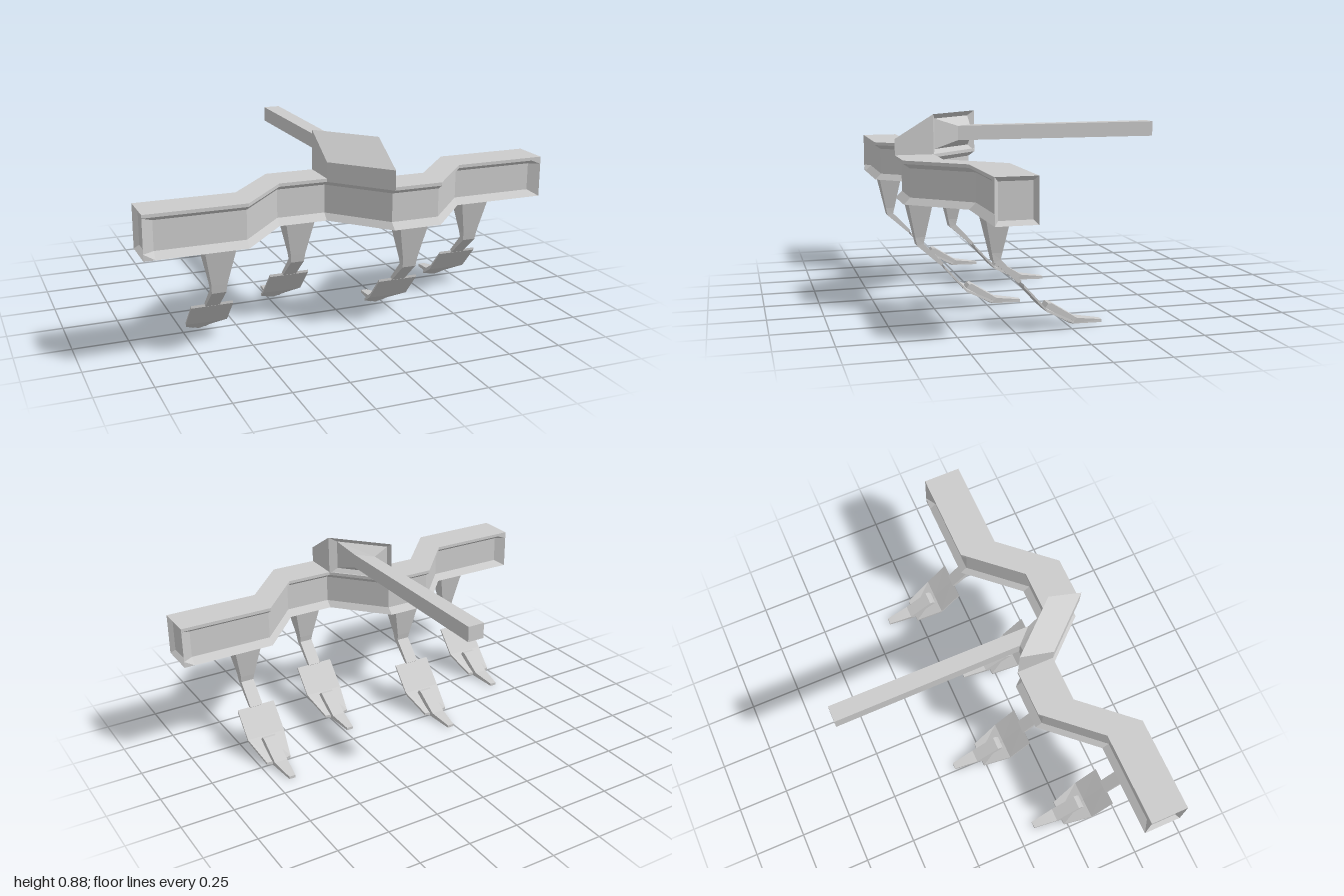
import * as THREE from 'three';

const material = new THREE.MeshStandardMaterial({ color: 0xcccccc, flatShading: true, side: THREE.DoubleSide });

// Skin a row of equal-length rings of [x, y, z] points, with both ends capped.
function loft(name, rings) {
  const tris = [];
  const n = rings[0].length;
  for (let s = 0; s < rings.length - 1; s++) {
    for (let i = 0; i < n; i++) {
      const j = (i + 1) % n;
      const a = rings[s][i], b = rings[s][j], c = rings[s + 1][j], d = rings[s + 1][i];
      tris.push([a, b, c], [a, c, d]);
    }
  }
  const first = rings[0], last = rings[rings.length - 1];
  for (let i = 1; i < n - 1; i++) {
    tris.push([first[0], first[i + 1], first[i]], [last[0], last[i], last[i + 1]]);
  }
  // turn the skin outward if its enclosed volume is negative
  let volume = 0;
  for (const [a, b, c] of tris) {
    const u = new THREE.Vector3(...b).cross(new THREE.Vector3(...c));
    volume += new THREE.Vector3(...a).dot(u);
  }
  if (volume < 0) tris.forEach((t) => t.reverse());
  const geometry = new THREE.BufferGeometry();
  geometry.setAttribute('position', new THREE.Float32BufferAttribute(tris.flat(2), 3));
  geometry.computeVertexNormals();
  const mesh = new THREE.Mesh(geometry, material);
  mesh.name = name;
  return mesh;
}

// Cross-section of the beam at x, with its front at z and grooves of the given depth.
function beamRing(x, z, depth, scale = 1) {
  const half = [[0.09, 0.7], [0.09, 0.685], [0.09 - depth, 0.665], [0.09 - depth, 0.535], [0.09, 0.505]];
  const back = half.map(([dz, y]) => [-dz, y]).reverse();
  return [...half, ...back].map(([dz, y]) => [x, 0.6025 + (y - 0.6025) * scale, z - 0.09 + dz * scale]);
}

// Four corners of a panel between two upright edges.
const panel = (x0, z0, x1, z1, low, high) =>
  [[x0, low, z0], [x1, low, z1], [x1, high, z1], [x0, high, z0]];

// Level rectangle cut through a bar, from a front point to a back point.
const cut = (w, [zf, yf], [zb, yb]) => [[-w, yf, zf], [w, yf, zf], [w, yb, zb], [-w, yb, zb]];

// Cross-section of the shovel plate, its sides raised by lift.
const plateRing = (z, y, w, lift, t = 0.012) => [
  [-w, y + lift, z], [0, y, z], [w, y + lift, z],
  [w, y + lift + t, z], [0, y + t, z], [-w, y + lift + t, z],
];

function tine(x, dz) {
  const group = new THREE.Group();
  group.name = 'tine';
  group.add(
    loft('shank', [
      cut(0.07, [0.62, 0.51], [0.505, 0.51]),
      cut(0.035, [0.584, 0.34], [0.538, 0.34]),
      cut(0.032, [0.575, 0.3], [0.545, 0.31]),
      cut(0.032, [0.467, 0.203], [0.453, 0.213]),
    ]),
    loft('shovel', [
      plateRing(0.462, 0.2, 0.095, 0),
      plateRing(0.36, 0.084, 0.095, 0.002),
      plateRing(0.23, 0.005, 0.062, 0.014),
    ]),
    loft('point', [
      cut(0.032, [0.352, 0.084], [0.335, 0.107]),
      cut(0.032, [0.33, 0.07], [0.32, 0.107]),
      cut(0.032, [0.23, 0.01], [0.205, 0.034]),
      cut(0.016, [0.087, 0.003], [0.087, 0.016]),
    ]),
  );
  group.position.set(x, 0, dz);
  return group;
}

export function createModel() {
  const model = new THREE.Group();
  model.name = 'cultivator';

  // zigzag beam with grooved sides and sunk end faces
  const near = 0.647, far = 0.402, groove = 0.03;
  const corners = [
    [-0.95, near], [-0.555, near], [-0.335, far], [-0.11, far],
    [0.11, near], [0.335, near], [0.555, far], [0.95, far],
  ];
  model.add(loft('beam', [
    beamRing(-0.98, near, 0, 0.8),
    beamRing(-1, near, 0),
    ...corners.map(([x, z]) => beamRing(x, z, groove)),
    beamRing(1, far, 0),
    beamRing(0.98, far, 0, 0.8),
  ]));

  // slanted hitch block on the middle diagonal, sunk at the back
  const sunk = panel(-0.105, 0.258, 0.07, 0.453, 0.72, 0.862);
  model.add(loft('hitch', [
    panel(-0.11, far, 0.11, near, 0.69, 0.775),
    panel(-0.11, 0.222, 0.11, 0.467, 0.69, 0.885),
    sunk,
  ]));

  // drawbar flaring into the hitch
  model.add(loft('drawbar', [
    sunk,
    panel(-0.036, 0.26, 0.036, 0.335, 0.755, 0.823),
    panel(-0.04, -0.65, 0.04, -0.65, 0.753, 0.825),
  ]));

  // tines alternate between the near and far runs of the beam
  [-0.67, -0.225, 0.22, 0.665].forEach((x, i) => model.add(tine(x, i % 2 ? far - near : 0)));
  return model;
}
